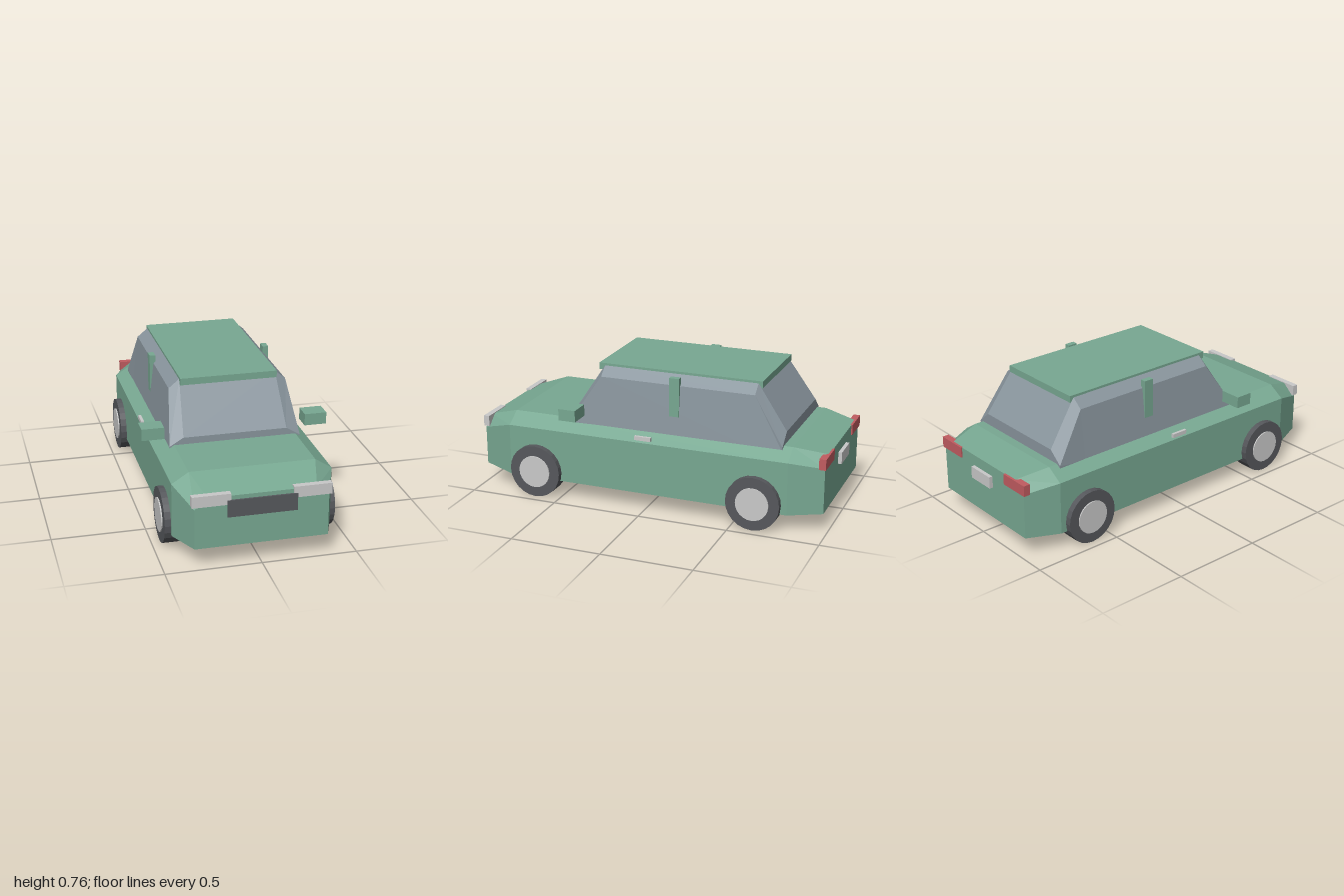
import * as THREE from 'three';

const mat = (name, color) => {
  const m = new THREE.MeshStandardMaterial({ color, flatShading: true });
  m.name = name;
  return m;
};

// Hull through six-sided sections, listed from back to front:
// [z, bottom half width, bottom y, shoulder half width, shoulder y, top half width, top y]
function loft(sections) {
  const rings = sections.map(([z, wb, b, ws, s, wt, t]) =>
    [[wb, b], [ws, s], [wt, t], [-wt, t], [-ws, s], [-wb, b]].map(([x, y]) => [x, y, z]));
  const pos = [];
  const tri = (a, b, c) => pos.push(...a, ...b, ...c);
  for (let k = 0; k < rings.length - 1; k++) {
    for (let j = 0; j < 6; j++) {
      const n = (j + 1) % 6, p = rings[k], q = rings[k + 1];
      tri(p[j], p[n], q[n]);
      tri(p[j], q[n], q[j]);
    }
  }
  const back = rings[0], front = rings[rings.length - 1];
  for (let j = 1; j < 5; j++) {
    tri(back[0], back[j + 1], back[j]);
    tri(front[0], front[j], front[j + 1]);
  }
  const g = new THREE.BufferGeometry();
  g.setAttribute('position', new THREE.Float32BufferAttribute(pos, 3));
  g.computeVertexNormals();
  return g;
}

export function createModel() {
  const car = new THREE.Group();
  car.name = 'car';
  const paint = mat('green paint', 0x78a892);
  const glass = mat('tinted glass', 0x89959d);
  const rubber = mat('dark rubber', 0x56585c);
  const silver = mat('pale silver', 0xc9c9c9);
  const red = mat('tail red', 0xc15c60);

  const add = (name, geometry, material) => {
    const mesh = new THREE.Mesh(geometry, material);
    mesh.name = name;
    car.add(mesh);
    return mesh;
  };
  // Box given by its limits on each axis
  const box = (name, material, [x0, x1], [y0, y1], [z0, z1]) =>
    add(name, new THREE.BoxGeometry(x1 - x0, y1 - y0, z1 - z0), material)
      .position.set((x0 + x1) / 2, (y0 + y1) / 2, (z0 + z1) / 2);
  const pair = (name, material, [x0, x1], y, z) => {
    box(name + 'Left', material, [x0, x1], y, z);
    box(name + 'Right', material, [-x1, -x0], y, z);
  };

  // Body shell
  add('body', loft([
    [-0.98, 0.355, 0.11, 0.355, 0.36, 0.28, 0.415],
    [-0.8, 0.42, 0.1, 0.42, 0.39, 0.33, 0.448],
    [0.8, 0.42, 0.1, 0.42, 0.39, 0.33, 0.448],
    [0.99, 0.346, 0.113, 0.346, 0.328, 0.28, 0.387],
  ]), paint);

  // Glass cabin and roof panel
  add('cabin', loft([
    [-0.75, 0.355, 0.42, 0.355, 0.445, 0.28, 0.51],
    [-0.585, 0.355, 0.42, 0.32, 0.7, 0.262, 0.748],
    [0.285, 0.355, 0.42, 0.32, 0.7, 0.262, 0.748],
    [0.458, 0.355, 0.42, 0.355, 0.44, 0.28, 0.485],
  ]), glass);
  box('roof', paint, [-0.263, 0.263], [0.723, 0.76], [-0.608, 0.318]);
  pair('doorPillar', paint, [0.309, 0.341], [0.46, 0.745], [-0.172, -0.116]);

  // Side fittings
  pair('mirror', paint, [0.381, 0.501], [0.488, 0.552], [0.36, 0.457]);
  pair('doorHandle', silver, [0.411, 0.427], [0.405, 0.427], [-0.043, 0.05]);

  // Front and rear fittings
  pair('headlight', silver, [0.161, 0.36], [0.341, 0.4], [0.962, 0.995]);
  box('grille', rubber, [-0.18, 0.18], [0.274, 0.365], [0.965, 1]);
  pair('tailLight', red, [0.193, 0.368], [0.357, 0.416], [-0.987, -0.95]);
  box('rearPlate', silver, [-0.082, 0.082], [0.29, 0.355], [-1, -0.975]);

  // Wheels with pale hub discs
  const tyre = new THREE.CylinderGeometry(0.148, 0.148, 0.097, 24).rotateZ(Math.PI / 2);
  const hub = new THREE.CylinderGeometry(0.091, 0.091, 0.097, 24).rotateZ(Math.PI / 2);
  for (const [end, z] of [['front', 0.638], ['rear', -0.622]]) {
    for (const [side, s] of [['Left', 1], ['Right', -1]]) {
      add(end + 'Tyre' + side, tyre, rubber).position.set(s * 0.4045, 0.148, z);
      add(end + 'Hub' + side, hub, silver).position.set(s * 0.411, 0.148, z);
    }
  }
  return car;
}
